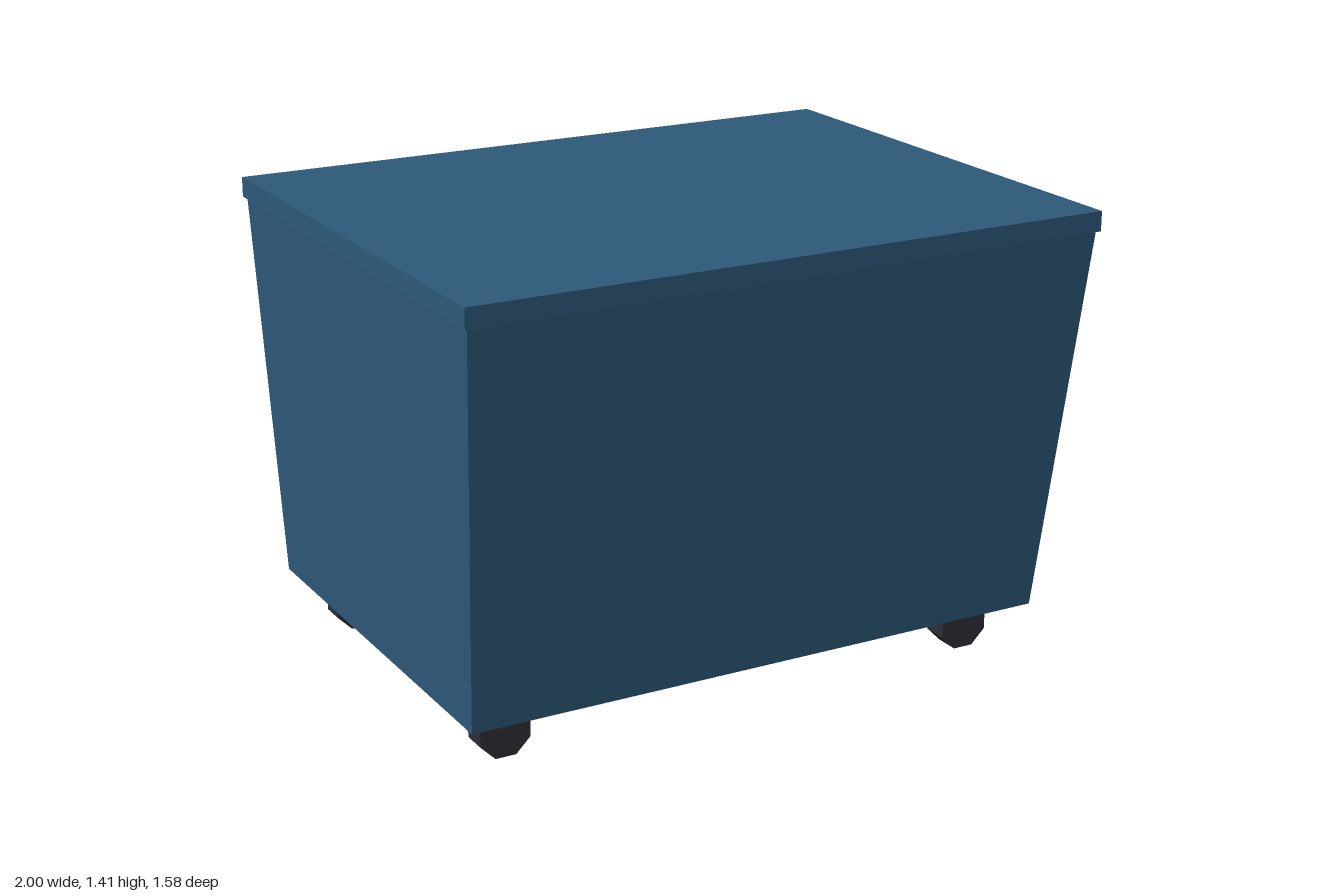
import * as THREE from 'three';

export function createModel() {
  const group = new THREE.Group();
  const blue = new THREE.MeshStandardMaterial({ name: 'bin blue', color: 0x2d5878, flatShading: true });
  const rubber = new THREE.MeshStandardMaterial({ name: 'wheel rubber', color: 0x2d2d35, flatShading: true });

  const add = (name, geometry, material, x, y, z) => {
    const mesh = new THREE.Mesh(geometry, material);
    mesh.name = name;
    mesh.position.set(x, y, z);
    group.add(mesh);
  };

  // Tapered body: a box whose lower corners are drawn in, most at the front
  const bottom = 0.155, rim = 1.355, top = 1.415;
  const bodyGeometry = new THREE.BoxGeometry(1.98, rim - bottom, 1.56);
  const pos = bodyGeometry.attributes.position;
  for (let i = 0; i < pos.count; i++) {
    if (pos.getY(i) > 0) continue;
    pos.setX(i, Math.sign(pos.getX(i)) * 0.936);
    pos.setZ(i, pos.getZ(i) > 0 ? 0.627 : -0.73);
  }
  bodyGeometry.computeVertexNormals();
  add('body', bodyGeometry, blue, 0, (bottom + rim) / 2, 0);

  // Flat lid with a slight overhang
  add('lid', new THREE.BoxGeometry(2, top - rim, 1.58), blue, 0, (rim + top) / 2, 0);

  // Four octagonal wheels standing on a flat side
  const apothem = bottom / 2;
  const wheelGeometry = new THREE.CylinderGeometry(
    apothem / Math.cos(Math.PI / 8), apothem / Math.cos(Math.PI / 8), 0.08, 8, 1, false, Math.PI / 8);
  wheelGeometry.rotateX(Math.PI / 2);
  for (const [side, x] of [['left', 0.78], ['right', -0.78]]) {
    for (const [end, z] of [['Front', 0.47], ['Back', -0.57]]) {
      add(side + end + 'Wheel', wheelGeometry, rubber, x, apothem, z);
    }
  }
  return group;
}
